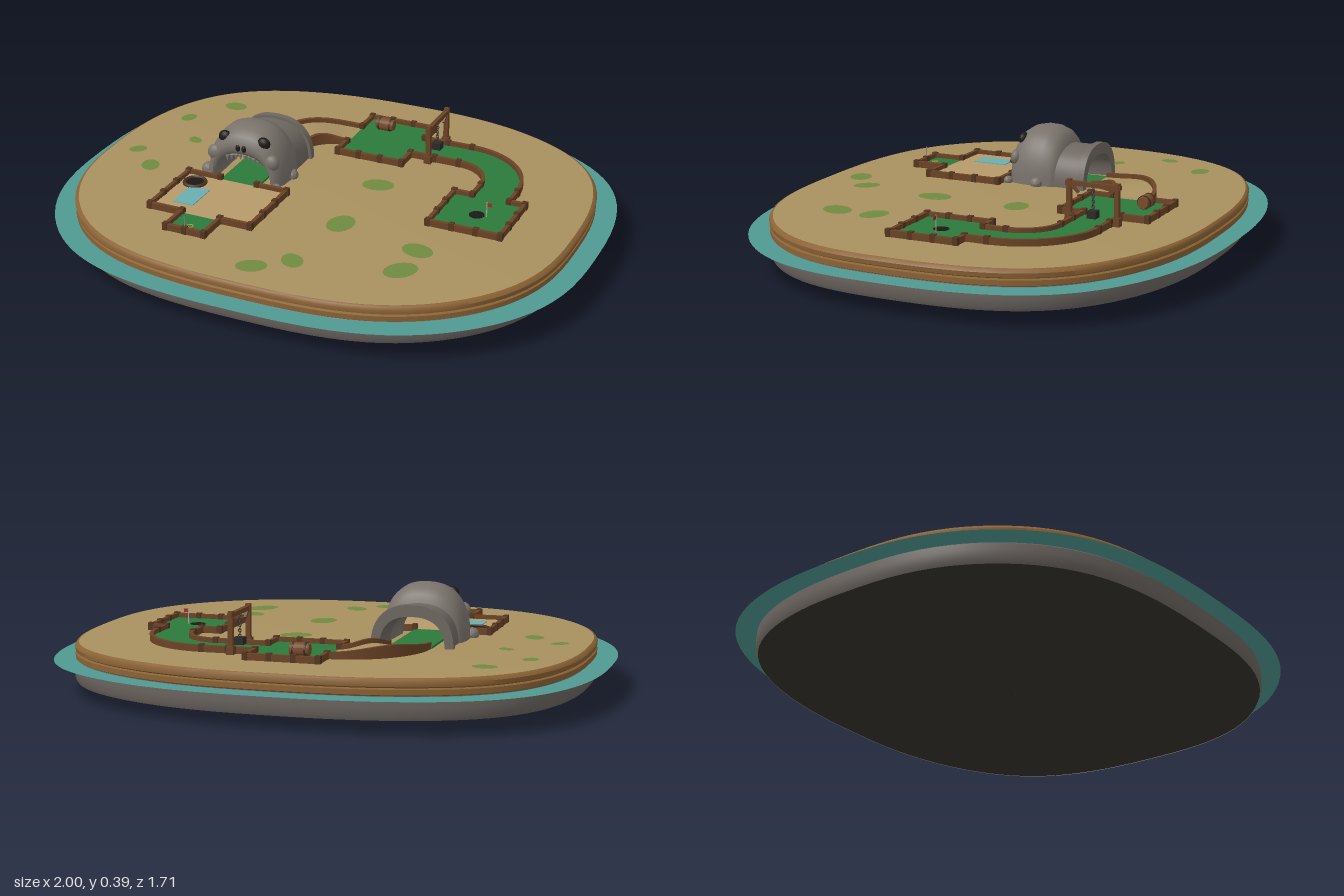
import * as THREE from 'three';
import { toCreasedNormals } from 'three/addons/utils/BufferGeometryUtils.js';

const G = 0.186; // ground height
const WOOD = 0x6b4326, GREEN = 0x2c7a3b, SAND = 0xa8905f, ROCK = 0x79726b, DARK = 0x1c1816;
const mats = {};
const mat = (c) => (mats[c] ??= new THREE.MeshStandardMaterial({ color: c, side: THREE.DoubleSide }));

function add(parent, name, geo, color, x = 0, y = 0, z = 0) {
  const m = new THREE.Mesh(geo, mat(color));
  m.name = name;
  m.position.set(x, y, z);
  parent.add(m);
  return m;
}

const box = (parent, name, color, w, h, d, x, y, z) => add(parent, name, new THREE.BoxGeometry(w, h, d), color, x, y, z);

// Surface through a list of equally long rows of [x, y, z]
function loft(rows, closed, crease = 0.7) {
  const n = rows[0].length, idx = [];
  for (let i = 0; i < rows.length - 1; i++)
    for (let j = 0; j < (closed ? n : n - 1); j++) {
      const k = (j + 1) % n, a = i * n + j, b = i * n + k;
      idx.push(a, a + n, b, b, a + n, b + n);
    }
  const g = new THREE.BufferGeometry();
  g.setAttribute('position', new THREE.Float32BufferAttribute(rows.flat(2), 3));
  g.setIndex(idx);
  return toCreasedNormals(g, crease);
}

// Rounded-square shoreline ring
function shore(rx, rz, y, n = 96) {
  return Array.from({ length: n }, (_, i) => {
    const a = (i / n) * Math.PI * 2, c = Math.cos(a), s = Math.sin(a), e = 2 / 2.6;
    const k = 1 + 0.006 * Math.sin(5 * a + 1) * Math.sin(2 * a);
    return [Math.sign(c) * Math.abs(c) ** e * rx * k, y, Math.sign(s) * Math.abs(s) ** e * rz * k];
  });
}
const island = (profile) => loft(profile.map(([s, y]) => shore(0.93 * s, 0.79 * s, y)), true);

// Curved bar of rectangular section, following a hump along its length
function arcBar(cx, cz, r0, r1, a0, a1, y0, y1, hump = 0) {
  const rows = [];
  for (let i = 0; i <= 20; i++) {
    const a = a0 + ((a1 - a0) * i) / 20, u = hump * Math.sin((Math.PI * i) / 20) ** 2;
    rows.push([[r0, y0], [r0, y1 + u], [r1, y1 + u], [r1, y0]].map(([r, y]) => [cx + r * Math.cos(a), y, cz + r * Math.sin(a)]));
  }
  return loft(rows, true, 0.5);
}

// Timber border with little posts along a polyline of [x, z]
function border(parent, pts) {
  const T = 0.014, H = 0.024;
  for (let i = 0; i < pts.length - 1; i++) {
    const [x0, z0] = pts[i], [x1, z1] = pts[i + 1];
    const dx = x1 - x0, dz = z1 - z0, len = Math.hypot(dx, dz);
    box(parent, 'borderPlank', WOOD, Math.abs(dx) + T, H, Math.abs(dz) + T, (x0 + x1) / 2, G + H / 2, (z0 + z1) / 2);
    const n = Math.max(1, Math.round(len / 0.1));
    for (let k = 0; k <= n; k++)
      box(parent, 'borderPost', 0x55351f, 0.019, 0.028, 0.019, x0 + (dx * k) / n, G + 0.014, z0 + (dz * k) / n);
  }
}

// Arch row at depth z: half width w, height h
const arch = (x, z, w, h) => Array.from({ length: 33 }, (_, j) => {
  const a = (j / 32) * Math.PI, c = Math.cos(a);
  return [x + Math.sign(c) * w * Math.abs(c) ** 0.82, G + h * Math.max(0, Math.sin(a)) ** 0.88, z];
});

function buildIsland(root) {
  const g = new THREE.Group();
  g.name = 'island';
  add(g, 'underside', island([[0.001, 0], [0.25, 0.008], [0.6, 0.026], [0.9, 0.04], [0.99, 0.047]]), 0x37322e);
  add(g, 'rockBase', island([[0.99, 0.045], [0.998, 0.06], [1, 0.09], [0.998, 0.115], [0.985, 0.124], [0.985, 0.13], [0.99, 0.135]]), 0x69635e);
  add(g, 'earthBank', island([[0.985, 0.126], [0.995, 0.13], [0.995, 0.148], [0.985, 0.152], [0.995, 0.157], [0.997, 0.172], [0.99, 0.182], [0.982, 0.185]]), 0x8a6234);
  add(g, 'sandGround', island([[0.982, 0.185], [0.96, G], [0.001, G]]), SAND);
  add(g, 'water', loft([shore(1, 0.855, 0.123), shore(0.9, 0.76, 0.123)], true), 0x4f9a92);
  // Grass patches
  const grass = [[-0.65, -0.47, 0.045], [-0.77, -0.3, 0.035], [-0.65, -0.13, 0.03], [-0.81, 0.03, 0.035], [-0.7, 0.13, 0.045],
    [0.14, -0.07, 0.06], [0.14, 0.26, 0.065], [0.46, 0.33, 0.06], [0.46, 0.48, 0.065], [0.1, 0.57, 0.05], [-0.01, 0.66, 0.055]];
  grass.forEach(([x, z, r], i) => {
    const disc = new THREE.CircleGeometry(r, 14).rotateX(-Math.PI / 2).scale(1, 1, 0.75);
    add(g, 'grassPatch', disc, 0x6f8a40, x, G + 0.0015, z).rotation.y = i * 1.3;
  });
  root.add(g);
}

function buildCourse(root) {
  const g = new THREE.Group();
  g.name = 'course';
  const floor = (color, x0, x1, z0, z1, y = 0.194) =>
    box(g, 'floor', color, x1 - x0, y - G + 0.004, z1 - z0, (x0 + x1) / 2, (y + G - 0.004) / 2, (z0 + z1) / 2);
  floor(GREEN, -0.4, -0.25, 0.42, 0.55);
  floor(0xb59a6a, -0.53, -0.13, 0.14, 0.43, 0.195);
  floor(GREEN, -0.4, -0.25, -0.2, 0.14);
  floor(GREEN, -0.105, 0.155, -0.58, -0.25);
  floor(GREEN, 0.155, 0.35, -0.48, -0.34);
  floor(GREEN, 0.49, 0.63, -0.2, -0.115);
  floor(GREEN, 0.42, 0.69, -0.115, 0.14);

  border(g, [[-0.4, 0.14], [-0.53, 0.14], [-0.53, 0.43], [-0.4, 0.43], [-0.4, 0.55], [-0.25, 0.55], [-0.25, 0.43], [-0.13, 0.43], [-0.13, 0.14], [-0.25, 0.14]]);
  border(g, [[-0.105, -0.335], [-0.105, -0.25], [0.155, -0.25], [0.155, -0.34], [0.35, -0.34]]);
  border(g, [[-0.105, -0.48], [-0.105, -0.58], [0.155, -0.58], [0.155, -0.48], [0.35, -0.48]]);
  border(g, [[0.49, -0.2], [0.49, -0.115], [0.42, -0.115], [0.42, 0.14], [0.69, 0.14], [0.69, -0.115], [0.63, -0.115], [0.63, -0.2]]);

  // Two curved lanes; the left one rises over a hump
  const P = Math.PI;
  [[-0.105, -0.195, 0.14, 0.285, P, 0.02, SAND], [0.35, -0.2, 0.14, 0.28, 1.5 * P, 0, GREEN]].forEach(([cx, cz, r0, r1, a, hump, color]) => {
    add(g, 'curvedFloor', arcBar(cx, cz, r0, r1, a, a + P / 2, G - 0.003, 0.194, hump), color);
    for (const r of [r0, r1])
      add(g, 'curvedBorder', arcBar(cx, cz, r - 0.007, r + 0.007, a, a + P / 2, G - 0.003, 0.21, hump), WOOD);
  });

  // Pond, pit, tee and final hole
  box(g, 'pond', 0x69aeb0, 0.08, 0.004, 0.13, -0.43, 0.196, 0.305);
  add(g, 'pit', new THREE.CylinderGeometry(0.037, 0.037, 0.006, 24), DARK, -0.47, 0.197, 0.205);
  add(g, 'pitRim', new THREE.TorusGeometry(0.039, 0.007, 8, 24).rotateX(P / 2), 0x4a3222, -0.47, 0.198, 0.205);
  add(g, 'teeRing', new THREE.TorusGeometry(0.011, 0.002, 6, 18).rotateX(P / 2), 0xb5a03a, -0.325, 0.196, 0.51);
  add(g, 'teePole', new THREE.CylinderGeometry(0.002, 0.002, 0.06, 6), 0x8a8a86, -0.325, 0.222, 0.548);
  add(g, 'hole', new THREE.CylinderGeometry(0.028, 0.028, 0.003, 24), DARK, 0.555, 0.194, 0.012);
  add(g, 'flagPole', new THREE.CylinderGeometry(0.002, 0.002, 0.06, 6), 0xb0b0aa, 0.592, 0.222, 0.012);
  box(g, 'flag', 0x9a2f2a, 0.018, 0.014, 0.002, 0.602, 0.243, 0.012);
  root.add(g);
}

function buildSkull(root) {
  const g = new THREE.Group();
  g.name = 'skullTunnel';
  const X = -0.325;
  // Stations run through the mouth, around the face and over the head
  const stations = [[-0.07, 0.11, 0.1], [0.085, 0.105, 0.1], [0.105, 0.112, 0.108], [0.116, 0.12, 0.125], [0.115, 0.129, 0.148], [0.1, 0.141, 0.177],
    [0.07, 0.151, 0.197], [0.03, 0.155, 0.205], [-0.01, 0.154, 0.203], [-0.045, 0.148, 0.19], [-0.065, 0.138, 0.17], [-0.075, 0.12, 0.14]];
  add(g, 'skull', loft(stations.map(([z, w, h]) => arch(X, z, w, h)), false, 1), ROCK);
  const rear = [[-0.19, 0.118, 0.108], [-0.19, 0.15, 0.15], [-0.165, 0.15, 0.15], [-0.165, 0.138, 0.139], [-0.06, 0.138, 0.139]];
  add(g, 'rearTunnel', loft([[-0.06, 0.11, 0.1], ...rear].map(([z, w, h]) => arch(X, z, w, h)).reverse(), false, 0.6), 0x6e6761);

  // Eye sockets, nostrils and teeth
  const blob = (name, r, x, y, z, sy, color) => add(g, name, new THREE.SphereGeometry(r, 16, 10), color, x, y, z).scale.set(1, sy, 0.7);
  for (const s of [-1, 1]) {
    blob('eyeSocket', 0.026, X + s * 0.078, 0.344, 0.086, 0.95, DARK);
    blob('nostril', 0.009, X + s * 0.012, 0.322, 0.116, 1.5, DARK);
    blob('cheek', 0.03, X + s * 0.115, 0.28, 0.098, 1, ROCK);
    for (let i = 0; i < 4; i++) {
      const x = 0.009 + i * 0.018;
      add(g, 'tooth', new THREE.ConeGeometry(0.008, 0.024, 8).rotateX(Math.PI), 0x8d857a, X + s * x, 0.28 - x * x * 3, 0.102);
    }
  }
  // Loose boulders
  [[-0.48, 0.08, 0.026], [-0.175, 0.0, 0.024], [-0.18, 0.12, 0.018], [-0.46, 0.115, 0.014]].forEach(([x, z, r]) =>
    add(g, 'boulder', toCreasedNormals(new THREE.IcosahedronGeometry(r, 1), 0.2), ROCK, x, G + r * 0.4, z));
  root.add(g);
}

function buildProps(root) {
  // Barrel lying on its side
  const barrel = new THREE.Group();
  barrel.name = 'barrel';
  const prof = [[0, -0.035], [0.02, -0.035], [0.025, -0.015], [0.025, 0.015], [0.02, 0.035], [0, 0.035]].map((p) => new THREE.Vector2(...p));
  add(barrel, 'staves', toCreasedNormals(new THREE.LatheGeometry(prof, 18), 0.6), 0x7a4a28);
  for (const y of [-0.022, 0.022]) add(barrel, 'hoop', new THREE.CylinderGeometry(0.0255, 0.0255, 0.006, 18), 0x33302e, 0, y, 0);
  barrel.rotation.z = Math.PI / 2;
  barrel.position.set(-0.017, 0.218, -0.505);
  root.add(barrel);

  // Timber gate with a swinging weight on a chain
  const gate = new THREE.Group();
  gate.name = 'swingGate';
  gate.position.set(0.235, 0, -0.41);
  for (const s of [-1, 1]) {
    box(gate, 'gatePost', WOOD, 0.018, 0.15, 0.016, 0, G + 0.075, s * 0.09);
    box(gate, 'gateFoot', WOOD, 0.026, 0.03, 0.026, 0, G + 0.015, s * 0.09);
    box(gate, 'gateBrace', WOOD, 0.01, 0.045, 0.009, 0, 0.306, s * 0.072).rotation.x = s * Math.PI / 4;
  }
  box(gate, 'gateBeam', WOOD, 0.016, 0.016, 0.206, 0, 0.322, 0);
  for (let i = 0; i < 9; i++) {
    const link = add(gate, 'chainLink', new THREE.TorusGeometry(0.005, 0.0016, 5, 10), 0x3a3a3a, 0, 0.312 - i * 0.0095, 0);
    link.scale.y = 1.3;
    link.rotation.y = (i % 2) * Math.PI / 2;
  }
  box(gate, 'weight', 0x2b2927, 0.036, 0.026, 0.034, 0, 0.219, 0);
  root.add(gate);
}

export function createModel() {
  const root = new THREE.Group();
  root.name = 'miniGolfIsland';
  buildIsland(root);
  buildCourse(root);
  buildSkull(root);
  buildProps(root);
  return root;
}
